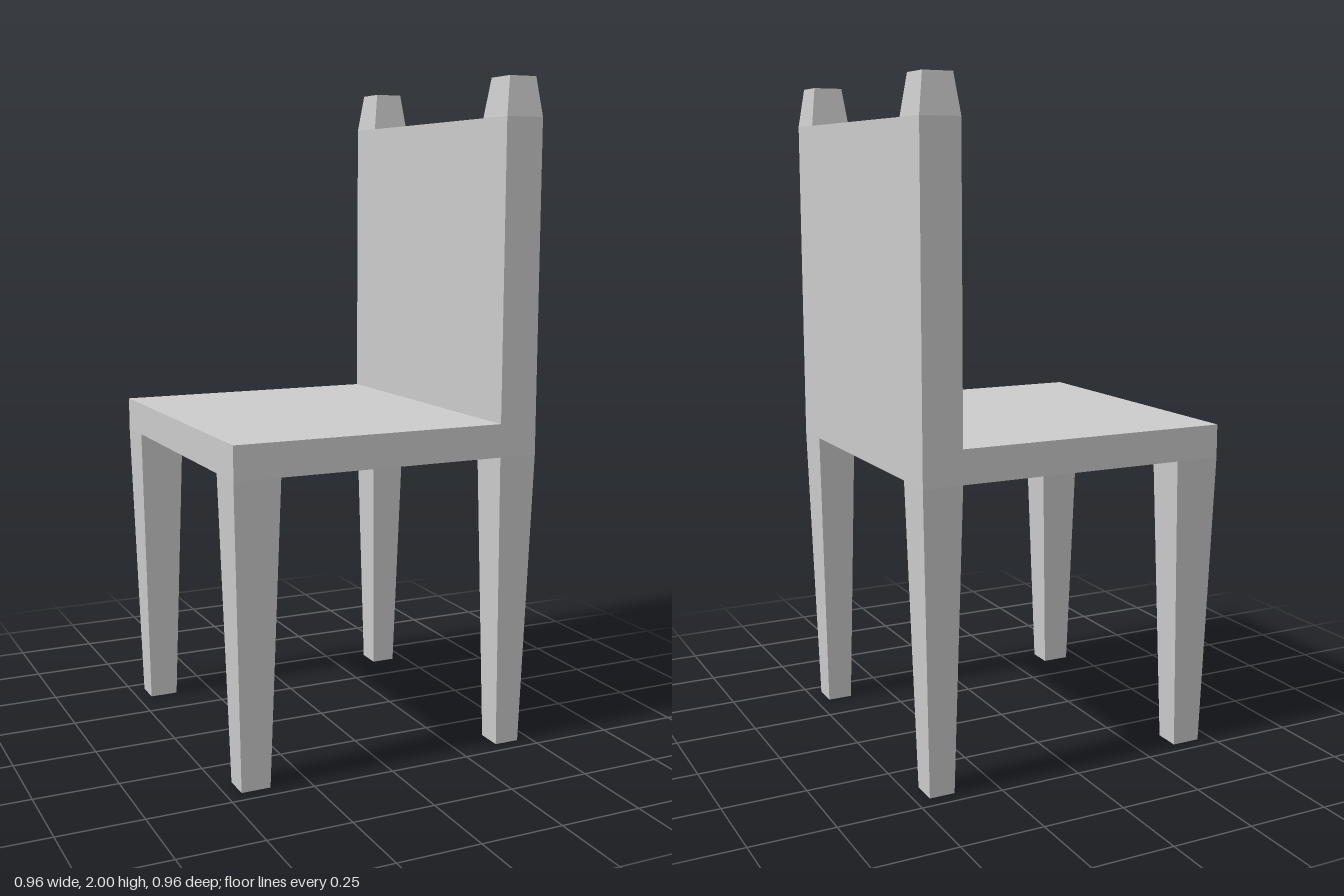
import * as THREE from 'three';

const material = new THREE.MeshStandardMaterial({ color: 0xcccccc, flatShading: true });

// Four-sided tapered post; each end is [xMin, xMax, zMin, zMax]
function taperedPost(name, y0, y1, bottom, top) {
  const geometry = new THREE.BoxGeometry(1, 1, 1);
  const p = geometry.attributes.position;
  for (let i = 0; i < p.count; i++) {
    const upper = p.getY(i) > 0;
    const end = upper ? top : bottom;
    p.setXYZ(i, end[p.getX(i) > 0 ? 1 : 0], upper ? y1 : y0, end[p.getZ(i) > 0 ? 3 : 2]);
  }
  geometry.computeVertexNormals();
  const mesh = new THREE.Mesh(geometry, material);
  mesh.name = name;
  return mesh;
}

// Mirrors a footprint to the other side in z
const mirrorZ = ([x0, x1, z0, z1]) => [x0, x1, -z1, -z0];

export function createModel() {
  const group = new THREE.Group();
  group.name = 'chair';

  // Seat and backrest: one L-shaped profile extruded across the width
  const profile = new THREE.Shape([
    [-0.48, 0.9], [0.48, 0.9], [0.48, 1.885], [0.36, 1.885], [0.36, 1], [-0.48, 1],
  ].map(([x, y]) => new THREE.Vector2(x, y)));
  const body = new THREE.ExtrudeGeometry(profile, { depth: 0.96, bevelEnabled: false });
  body.translate(0, 0, -0.48);
  const seat = new THREE.Mesh(body, material);
  seat.name = 'seatAndBackrest';
  group.add(seat);

  // Legs and the finials on the backrest corners, mirrored in z
  const posts = [
    ['frontLeg', 0, 0.9, [-0.455, -0.367, 0.375, 0.455], [-0.48, -0.34, 0.35, 0.48]],
    ['backLeg', 0, 0.9, [0.38, 0.457, 0.375, 0.455], [0.36, 0.48, 0.35, 0.48]],
    ['finial', 1.885, 2, [0.36, 0.48, 0.35, 0.48], [0.376, 0.464, 0.366, 0.465]],
  ];
  for (const [name, y0, y1, bottom, top] of posts) {
    group.add(taperedPost(name + 'A', y0, y1, bottom, top));
    group.add(taperedPost(name + 'B', y0, y1, mirrorZ(bottom), mirrorZ(top)));
  }
  return group;
}
